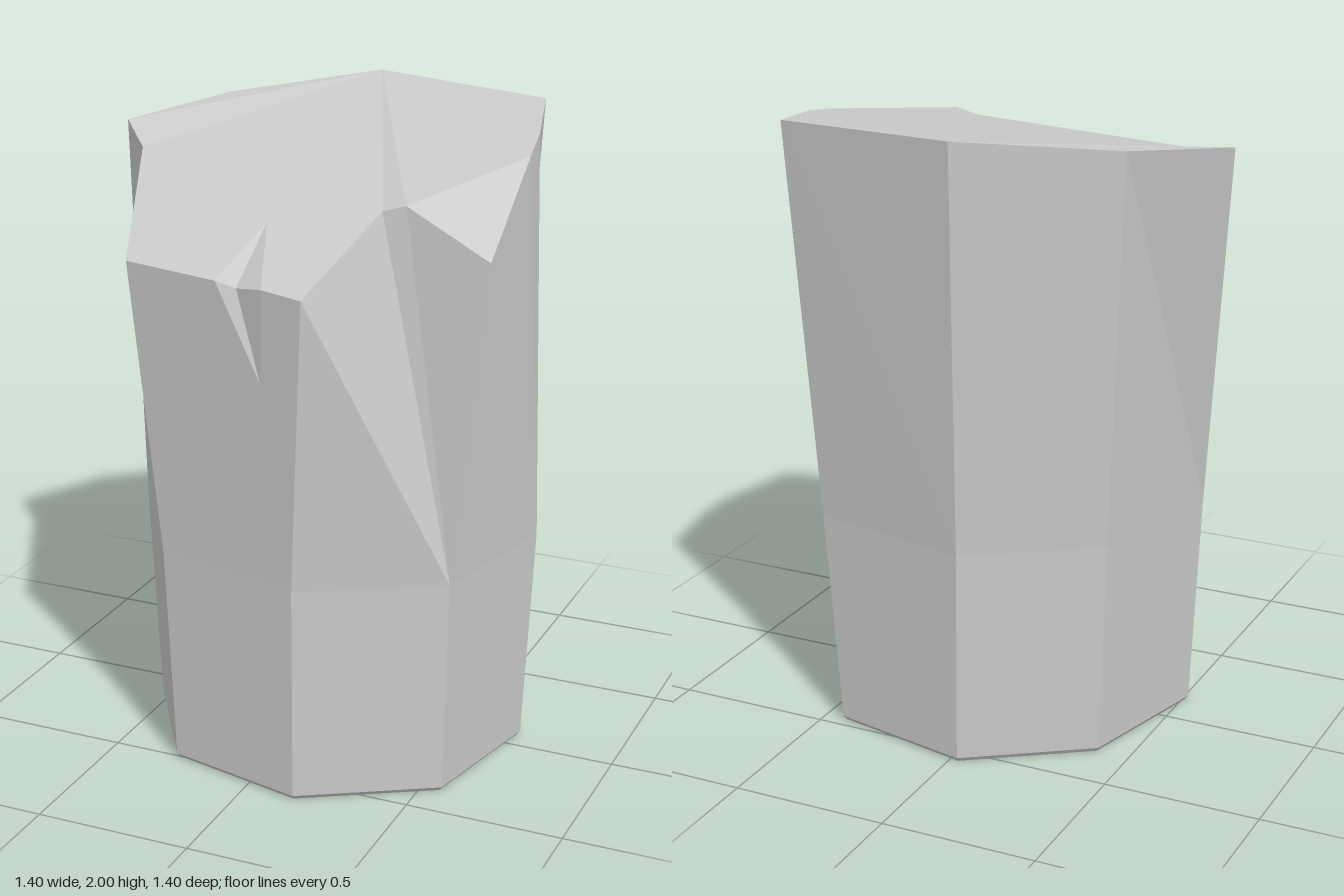
import * as THREE from 'three';

// Corner names run round the column: A (left), B, C, D (back), E, F (right), G, H (front)
const NAMES = ['A', 'B', 'C', 'D', 'E', 'F', 'G', 'H'];
const BASE = [[-0.52, 0.14], [-0.40, -0.32], [-0.03, -0.57], [0.43, -0.47],
  [0.67, -0.07], [0.57, 0.38], [0.17, 0.615], [-0.28, 0.51]];
const WAIST = [[-0.55, 0.15], [-0.43, -0.34], [-0.05, -0.60], [0.47, -0.49],
  [0.70, -0.08], [0.59, 0.40], [0.18, 0.64], [-0.30, 0.53]];

// Corners of the broken top, plus the chip in its front edge
const points = {
  A: [-0.70, 1.91, -0.06], B: [-0.50, 1.95, -0.40], C: [-0.09, 2.0, -0.70], D: [0.52, 1.98, -0.58],
  N: [0.605, 1.94, -0.27], E: [0.635, 1.91, -0.10], F: [0.685, 1.71, 0.375],
  G: [0.24, 1.635, 0.70], H: [-0.39, 1.64, 0.55],
  I: [0.35, 1.825, 0.37], J: [0.42, 1.845, 0.36], K: [-0.58, 1.86, 0.07],
  P: [-0.06, 1.64, 0.63], Q: [0.0, 1.62, 0.615], R: [0.10, 1.64, 0.662],
  S: [0.0, 1.765, 0.40], T: [0.09, 1.35, 0.648],
};

// Rings: 0 = underside, 1 = foot bevel, 2 = waist
NAMES.forEach((n, i) => {
  const [x, z] = BASE[i];
  points[n + 0] = [0.05 + (x - 0.05) * 0.98, 0, 0.02 + (z - 0.02) * 0.98];
  points[n + 1] = [x, 0.015, z];
  points[n + 2] = [WAIST[i][0], 0.71, WAIST[i][1]];
});

// Faceted surface from polygons, each fanned from its first corner and turned outward
function facets(name, polygons) {
  const centre = new THREE.Vector3(0, 1, 0);
  const verts = [];
  for (const poly of polygons) {
    const p = poly.split(' ').map((k) => new THREE.Vector3(...points[k]));
    for (let i = 1; i < p.length - 1; i++) {
      const tri = new THREE.Triangle(p[0], p[i], p[i + 1]);
      const normal = tri.getNormal(new THREE.Vector3());
      const out = tri.getMidpoint(new THREE.Vector3()).sub(centre);
      const order = normal.dot(out) < 0 ? [p[0], p[i + 1], p[i]] : [p[0], p[i], p[i + 1]];
      order.forEach((v) => verts.push(v.x, v.y, v.z));
    }
  }
  const geometry = new THREE.BufferGeometry();
  geometry.setAttribute('position', new THREE.Float32BufferAttribute(verts, 3));
  geometry.computeVertexNormals();
  const mesh = new THREE.Mesh(geometry, new THREE.MeshStandardMaterial({ color: 0xcccccc, flatShading: true }));
  mesh.name = name;
  return mesh;
}

export function createModel() {
  const group = new THREE.Group();
  group.name = 'rockColumn';

  // Lower prism with bevelled foot
  const lower = [NAMES.map((n) => n + 0).join(' ')];
  NAMES.forEach((n, i) => {
    const m = NAMES[(i + 1) % 8];
    for (const r of [0, 1]) lower.push(`${n}${r} ${m}${r} ${m}${r + 1} ${n}${r + 1}`);
  });
  group.add(facets('lowerColumn', lower));

  // Flaring upper sides
  group.add(facets('upperColumn', [
    'A2 B2 B A', 'B2 C2 C B', 'C2 D2 D C', 'D2 E2 N D',
    'E2 F2 F E N',
    'F2 G2 G I J F',
    'G2 H2 T', 'G2 T G', 'H2 H P T', 'T R G',
    'H2 A2 K H', 'A2 A K',
  ]));

  // Tilted top with its front slope and right bevel
  group.add(facets('brokenTop', [
    'C B A K I J E N D',
    'J F E',
    'K S I', 'K H P S', 'S R G I',
  ]));

  // Small chip in the front edge
  group.add(facets('frontChip', ['S P Q', 'S Q R', 'P T Q', 'Q T R']));
  return group;
}
